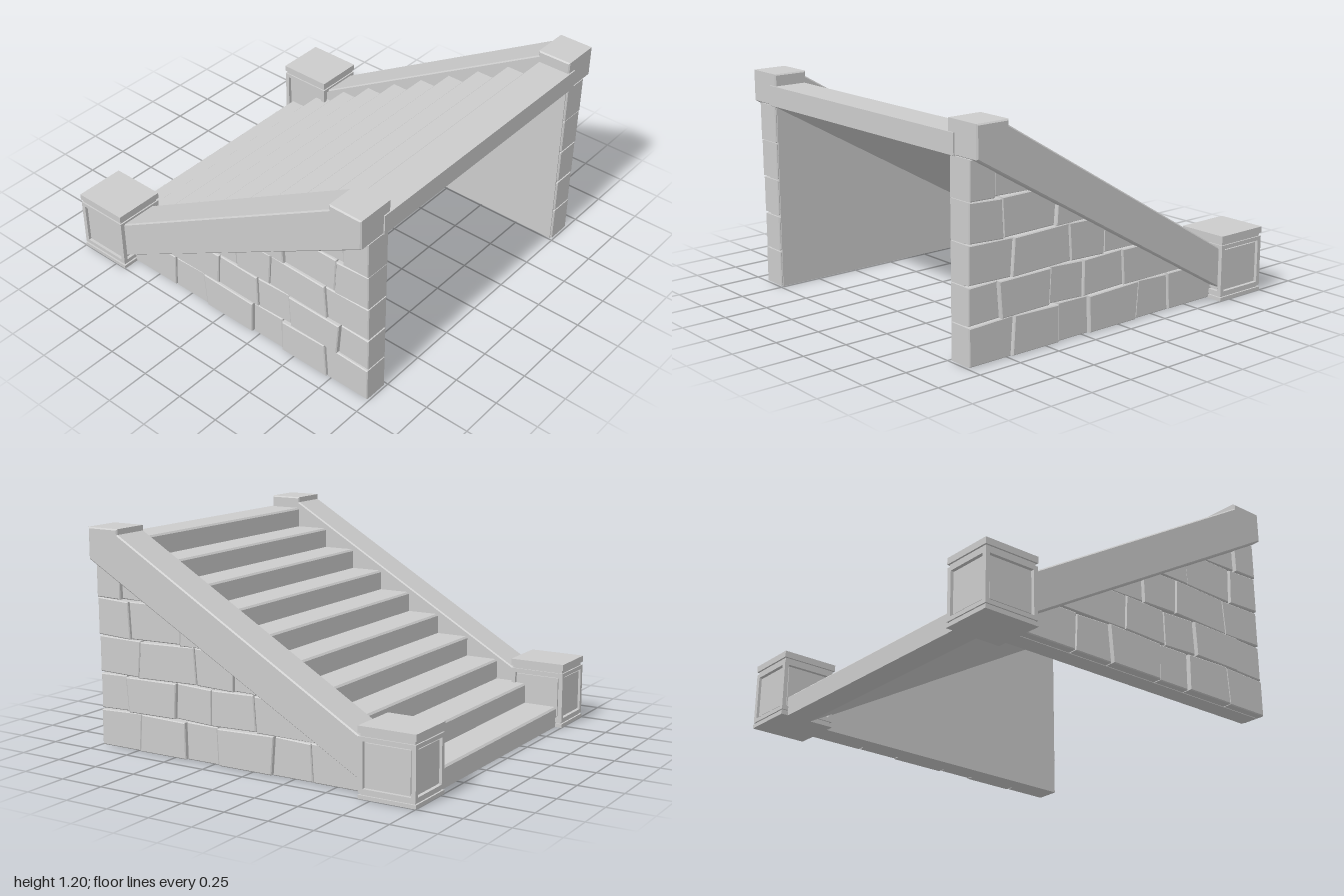
import * as THREE from 'three';

const material = new THREE.MeshStandardMaterial({ color: 0xcccccc });
const SLOPE = 0.569;
const underRail = (x) => 0.08 + SLOPE * (x + 0.68);

function add(group, name, geometry) {
  const mesh = new THREE.Mesh(geometry, material);
  mesh.name = name;
  group.add(mesh);
  return mesh;
}

function box(group, name, x0, x1, y0, y1, z0, z1) {
  const mesh = add(group, name, new THREE.BoxGeometry(x1 - x0, y1 - y0, z1 - z0));
  mesh.position.set((x0 + x1) / 2, (y0 + y1) / 2, (z0 + z1) / 2);
}

// Extrude an x/y outline between two depths, with chamfers kept inside the outline
function slab(group, name, points, z0, z1, bevel = 0) {
  const shape = new THREE.Shape(points.map(([x, y]) => new THREE.Vector2(x, y)));
  const geometry = new THREE.ExtrudeGeometry(shape, {
    depth: z1 - z0 - 2 * bevel, bevelEnabled: bevel > 0, bevelThickness: bevel,
    bevelSize: bevel, bevelOffset: -bevel, bevelSegments: 1,
  });
  geometry.translate(0, 0, z0 + bevel);
  add(group, name, geometry);
}

// Keep the part of a polygon that lies below the sloping rail
function clipBelowRail(points) {
  const height = ([x, y]) => y - underRail(x) - 0.008;
  const out = [];
  points.forEach((a, i) => {
    const b = points[(i + 1) % points.length];
    const ha = height(a), hb = height(b);
    if (ha <= 0) out.push(a);
    if (ha * hb < 0) {
      const t = ha / (ha - hb);
      out.push([a[0] + t * (b[0] - a[0]), a[1] + t * (b[1] - a[1])]);
    }
  });
  return out;
}

// Staircase with chamfered nosings and a flat sloping underside
function addSteps(group) {
  const count = 10, run = 0.195, rise = 0.1135, c = 0.01;
  const outline = [[-0.96, 0]];
  for (let i = 0; i < count; i++) {
    const x = -0.96 + i * run, y = (i + 1) * rise;
    if (i) outline.push([x, y - rise]);
    outline.push([x, y - c], [x + c, y]);
  }
  outline.push([0.997, count * rise], [0.997, 1.025], [-0.82, 0]);
  slab(group, 'steps', outline.reverse(), -0.805, 0.805);
}

// Course heights and the joints along each course
const rowY = [0.005, 0.208, 0.405, 0.608, 0.815, 1.025];
const joints = [
  [-0.75, -0.36, -0.13, 0.215, 0.42, 0.72, 0.99],
  [-0.5, -0.02, 0.255, 0.48, 0.805, 0.99],
  [-0.15, 0.11, 0.35, 0.72, 0.99],
  [0.2, 0.44, 0.78, 0.99],
  [0.55, 0.83, 0.99],
];

function addWall(group, side) {
  const wall = new THREE.Group();
  wall.name = 'stoneWall';
  group.add(wall);
  const depth = (a, b) => (side > 0 ? [a, b] : [-b, -a]);

  slab(wall, 'wallCore', [[-0.8, 0], [0.98, 0], [0.98, 1.03], [-0.8, 0.012]], ...depth(0.76, 0.862));
  // Slightly crooked stones, cut off along the rail
  joints.forEach((row, r) => {
    for (let i = 0; i < row.length - 1; i++) {
      const lean = (j) => (j === row.length - 1 ? 0 : 0.008 * Math.sin(r * 5 + j * 2.3));
      const tilt = 0.005 * Math.sin(r * 3 + i * 4.1);
      const [x0, x1] = [row[i] + 0.003, row[i + 1] - (i < row.length - 2 ? 0.003 : 0)];
      const [y0, y1] = [rowY[r] + 0.003, rowY[r + 1] - 0.003];
      const bottom = r ? tilt : -0.005;
      const stone = clipBelowRail([
        [x0 - lean(i), y0 + bottom], [x1 - lean(i + 1), y0 - (r ? tilt : 0.005)],
        [x1 + lean(i + 1), y1 - tilt], [x0 + lean(i), y1 + tilt],
      ]);
      const out = 0.91 + 0.007 * Math.sin(r * 2.7 + i * 3.7);
      if (stone.length > 2) slab(wall, 'stone', stone, ...depth(0.765, out), 0.005);
    }
  });
}

function addRail(group, side) {
  const outline = [
    [-0.74, underRail(-0.74)], [0.99, 1.03], [0.99, 1.2], [0.795, 1.2],
    [0.795, 1.17], [-0.74, 0.265],
  ];
  slab(group, 'rail', outline, ...(side > 0 ? [0.752, 0.972] : [-0.972, -0.752]), 0.007);
}

// Square post with framed panels on all four faces
function addPost(group, side) {
  const post = new THREE.Group();
  post.name = 'post';
  post.position.set(-0.84, 0, side * 0.855);
  group.add(post);
  const tier = (name, hx, hz, y0, y1) => box(post, name, -hx, hx, y0, y1, -hz, hz);
  tier('postBase', 0.16, 0.145, 0, 0.02);
  tier('postPlinth', 0.15, 0.135, 0.02, 0.032);
  tier('postCore', 0.138, 0.123, 0.03, 0.312);
  tier('postNeck', 0.15, 0.135, 0.312, 0.33);
  tier('postCap', 0.16, 0.145, 0.33, 0.365);

  const rect = (Type, w, y0, y1) => new Type([
    new THREE.Vector2(-w, y0), new THREE.Vector2(w, y0),
    new THREE.Vector2(w, y1), new THREE.Vector2(-w, y1),
  ]);
  for (let i = 0; i < 4; i++) {
    const [half, reach] = i % 2 ? [0.143, 0.158] : [0.158, 0.143];
    const frame = rect(THREE.Shape, half, 0.03, 0.312);
    frame.holes.push(rect(THREE.Path, half - 0.024, 0.052, 0.29));
    const geometry = new THREE.ExtrudeGeometry(frame, { depth: 0.02, bevelEnabled: false });
    geometry.translate(0, 0, reach - 0.02);
    add(post, 'postFrame', geometry).rotation.y = i * Math.PI / 2;
    const panel = new THREE.BoxGeometry(2 * (half - 0.033), 0.22, 0.01);
    panel.translate(0, 0.171, reach - 0.015);
    add(post, 'postPanel', panel).rotation.y = i * Math.PI / 2;
  }
}

export function createModel() {
  const model = new THREE.Group();
  model.name = 'staircase';
  addSteps(model);
  for (const side of [1, -1]) {
    addWall(model, side);
    addRail(model, side);
    addPost(model, side);
  }
  return model;
}
